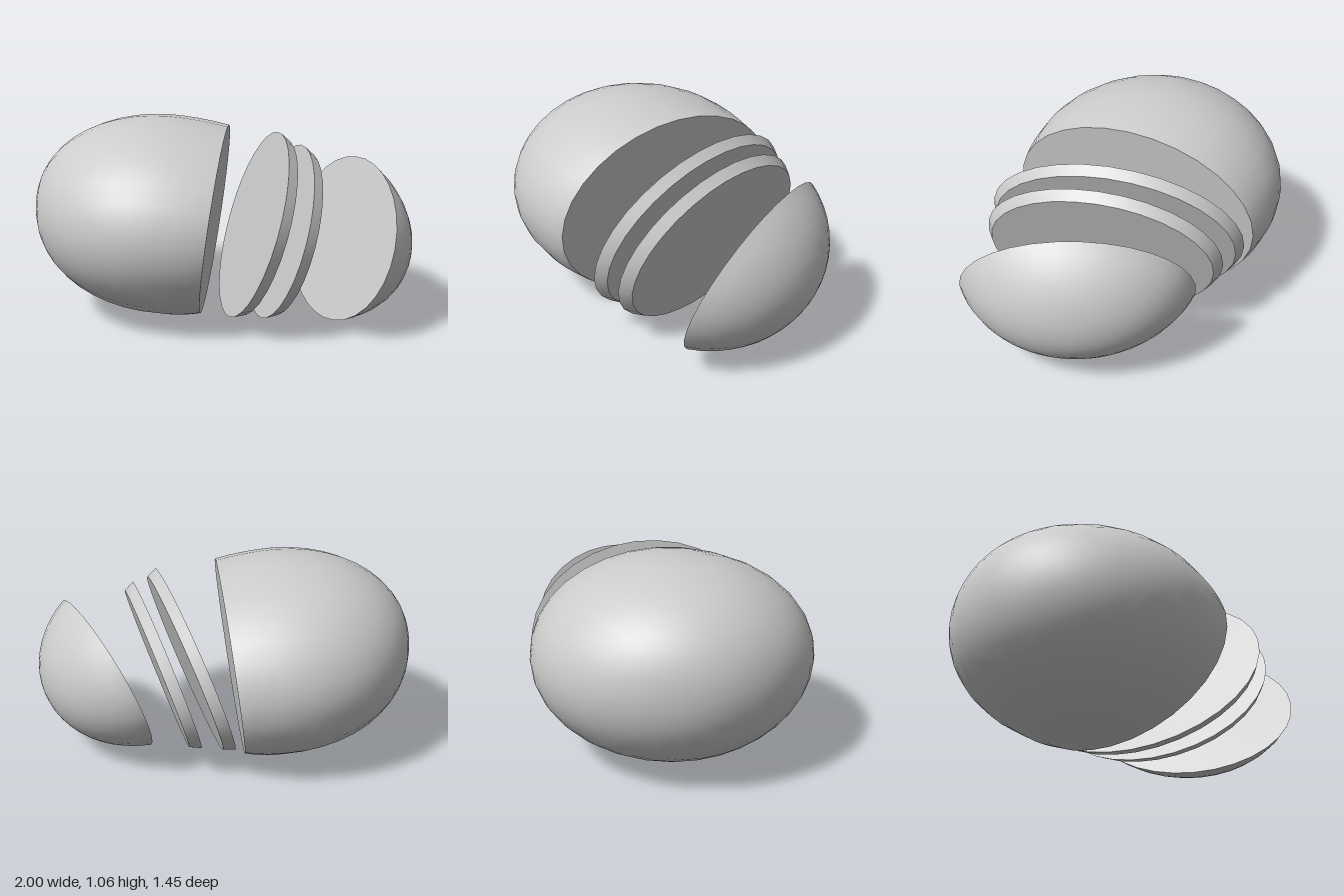
import * as THREE from 'three';
import { mergeGeometries, mergeVertices } from 'three/addons/utils/BufferGeometryUtils.js';

const SEG = 32;

// An oval cross-section: centre c, half height sy, half width sz,
// p and q tilt its plane (x grows by p per y and q per z), lean slides its top along z.
const oval = (c, sy, sz, p = 0, q = 0, lean = 0) => ({ c, sy, sz, p, q, lean });
const scaled = (o, k, c = o.c) => ({ ...o, c, sy: o.sy * k, sz: o.sz * k, lean: o.lean * k });

// Point at a distance along the oval's normal, on its +x side
function along(o, d) {
  const n = new THREE.Vector3(1, -o.p, -o.q).normalize().multiplyScalar(d);
  return [o.c[0] + n.x, o.c[1] + n.y, o.c[2] + n.z];
}

// Smooth skin through ovals listed from -x to +x
function skin(ovals) {
  const pos = [], idx = [];
  for (const o of ovals) {
    const width = Math.sqrt(Math.max(0, o.sz * o.sz - o.lean * o.lean));
    for (let i = 0; i < SEG; i++) {
      const t = (i / SEG) * Math.PI * 2;
      const y = o.sy * Math.cos(t);
      const z = width * Math.sin(t) + o.lean * Math.cos(t);
      pos.push(o.c[0] + o.p * y + o.q * z, o.c[1] + y, o.c[2] + z);
    }
  }
  for (let r = 0; r < ovals.length - 1; r++) {
    for (let i = 0; i < SEG; i++) {
      const a = r * SEG + i, b = r * SEG + (i + 1) % SEG;
      if (ovals[r].sy > 0) idx.push(a, b, a + SEG);
      if (ovals[r + 1].sy > 0) idx.push(b, b + SEG, a + SEG);
    }
  }
  let g = new THREE.BufferGeometry();
  g.setAttribute('position', new THREE.Float32BufferAttribute(pos, 3));
  g.setIndex(idx);
  g = mergeVertices(g, 1e-5);
  g.computeVertexNormals();
  return g;
}

const leftFace = (o) => skin([scaled(o, 0), o]);
const rightFace = (o) => skin([o, scaled(o, 0)]);

export function createModel() {
  const group = new THREE.Group();
  const material = new THREE.MeshStandardMaterial({ color: 0xcccccc });
  const add = (name, parts) => {
    const mesh = new THREE.Mesh(mergeGeometries(parts), material);
    mesh.name = name;
    group.add(mesh);
  };

  // Large uncut body: rounded end, then a gentle taper to the cut
  const body = [];
  for (let i = 0; i <= 12; i++) {
    const a = (1 - i / 12) * Math.PI / 2;
    const k = i === 0 ? 0 : Math.cos(a);
    body.push(oval([-0.3 - 0.7 * Math.sin(a), 0.53 + 0.035 * Math.sin(a), 0],
      0.525 * Math.pow(k, 0.9), 0.725 * k));
  }
  for (let i = 1; i <= 4; i++) {
    const u = i / 4, v = u * u;
    body.push(oval([-0.3 + 0.265 * u, 0.53 - 0.025 * u, 0],
      0.525 - 0.03 * v, 0.725 - 0.035 * v, 0.13 * u));
  }
  add('body', [skin(body), rightFace(body[body.length - 1])]);

  // Two thin leaning slices
  const slices = [
    ['firstSlice', oval([0.16, 0.485, 0.01], 0.475, 0.68, 0.35, 0.175, -0.04), 0.95],
    ['secondSlice', oval([0.31, 0.45, 0.015], 0.44, 0.63, 0.33, 0.175, -0.05), 0.94],
  ];
  for (const [name, front, taper] of slices) {
    const back = scaled(front, taper, along(front, 0.058));
    add(name, [leftFace(front), skin([front, back]), rightFace(back)]);
  }

  // Domed end piece
  const rim = oval([0.64, 0.415, 0], 0.405, 0.56, 0.41, 0.39, -0.1);
  const edge = THREE.MathUtils.degToRad(65), dome = [];
  for (let i = 0; i <= 10; i++) {
    const a = edge * (1 - i / 10);
    const h = 0.34 * (Math.cos(a) - Math.cos(edge)) / (1 - Math.cos(edge));
    dome.push(scaled(rim, Math.sin(a) / Math.sin(edge), along(rim, h)));
  }
  add('endPiece', [leftFace(rim), skin(dome)]);

  return group;
}
